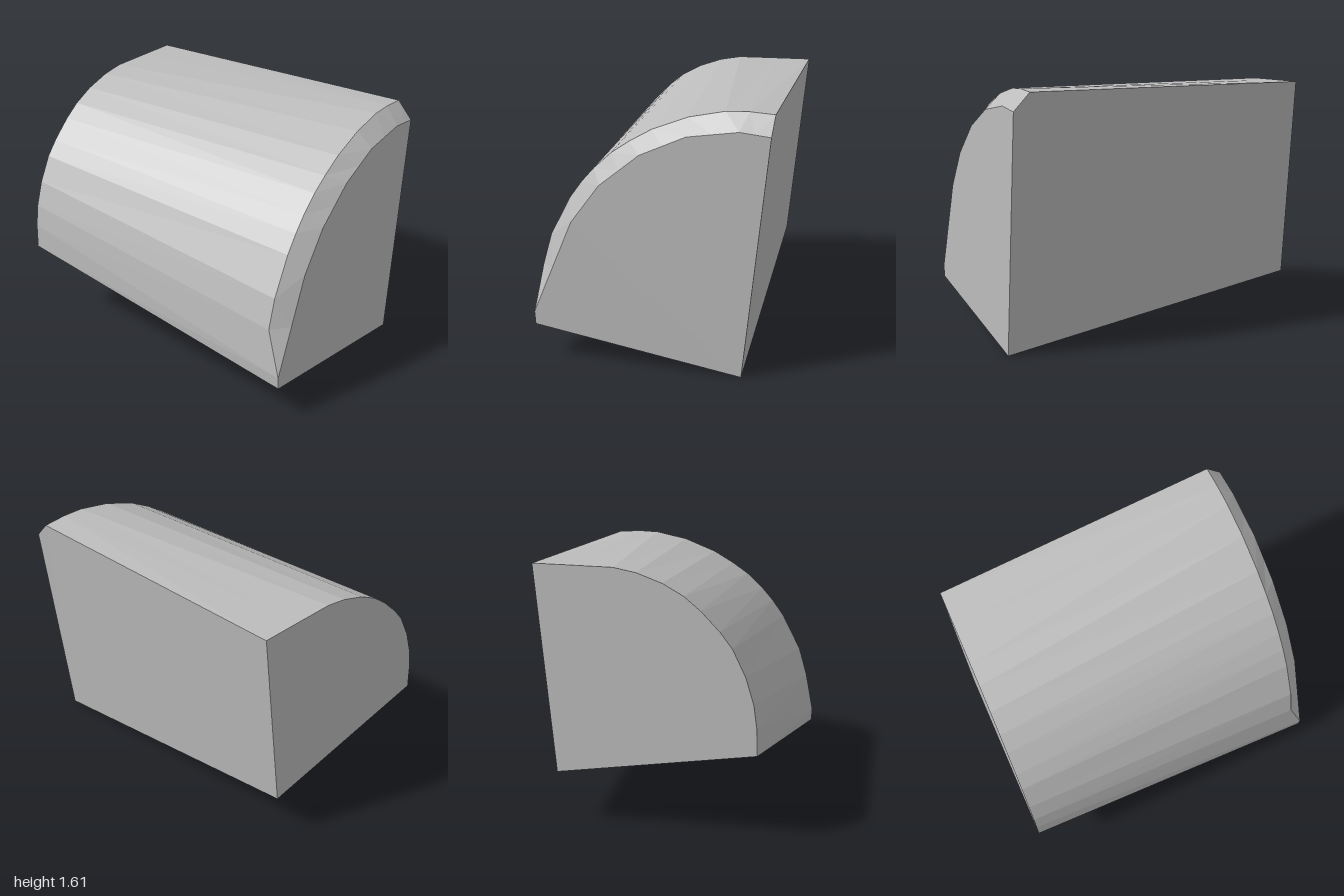
import * as THREE from 'three';

export function createModel() {
  const group = new THREE.Group();
  const stone = new THREE.MeshStandardMaterial({ color: 0xbcbcbc });

  // Curved crown, listed from the top right corner down to the left.
  const frontArc = [[0.725, 1.49], [0.54, 1.51], [0.23, 1.465], [-0.05, 1.34],
    [-0.30, 1.14], [-0.48, 0.90], [-0.735, 0.30]];
  const bevelArc = [[0.73, 1.60], [0.58, 1.61], [0.44, 1.605], [0.22, 1.56], [0, 1.475],
    [-0.14, 1.395], [-0.25, 1.32], [-0.36, 1.22], [-0.44, 1.13], [-0.52, 1.02],
    [-0.645, 0.78], [-0.70, 0.59]];
  const backArc = [[0.65, 1.605], [0.40, 1.603], [0.14, 1.60], [0, 1.575], [-0.16, 1.52],
    [-0.29, 1.45], [-0.39, 1.37], [-0.505, 1.255], [-0.58, 1.16], [-0.66, 1.0],
    [-0.71, 0.84], [-0.73, 0.70], [-0.735, 0.536]];

  // Front ring: arc with midpoints added, then the two bottom corners.
  const front = [];
  frontArc.forEach(([x, y], i) => {
    front.push([x, y, 1]);
    const next = frontArc[i + 1];
    if (next) front.push([(x + next[0]) / 2, (y + next[1]) / 2, 1]);
  });
  const bottom = [[-0.73, 0.22, 1], [0.57, 0.005, 1]];
  front.push(...bottom);

  // Bevel ring: runs out into the front face at its lower left end.
  const bevel = [...bevelArc.map(([x, y]) => [x, y, 0.9]), [-0.735, 0.30, 1], ...bottom];

  // Back ring: lies on a slightly slanted plane.
  const back = [...backArc, [-0.735, 0.536], [0.519, 0.325]]
    .map(([x, y]) => [x, y, -0.987 + 0.021 * x + 0.004 * y]);

  function buildMesh(name, triangles) {
    const geometry = new THREE.BufferGeometry();
    const solid = triangles.filter((t) => {
      const [a, b, c] = t.map((p) => new THREE.Vector3(...p));
      return new THREE.Triangle(a, b, c).getArea() > 1e-7;
    });
    geometry.setAttribute('position', new THREE.Float32BufferAttribute(solid.flat(2), 3));
    geometry.computeVertexNormals();
    const mesh = new THREE.Mesh(geometry, stone);
    mesh.name = name;
    group.add(mesh);
  }

  // Skin between two rings.
  function loft(a, b) {
    return a.flatMap((p, i) => {
      const j = (i + 1) % a.length;
      return [[p, b[i], a[j]], [a[j], b[i], b[j]]];
    });
  }

  // Flat end face, fanned from the bottom right corner.
  function cap(ring) {
    const corner = ring[ring.length - 1];
    return ring.slice(0, -2).map((p, i) => [corner, p, ring[i + 1]]);
  }

  buildMesh('frontFace', cap(front));
  buildMesh('frontBevel', loft(front, bevel));
  buildMesh('blockBody', loft(bevel, back));
  buildMesh('backFace', cap(back).map(([a, b, c]) => [a, c, b]));
  return group;
}
